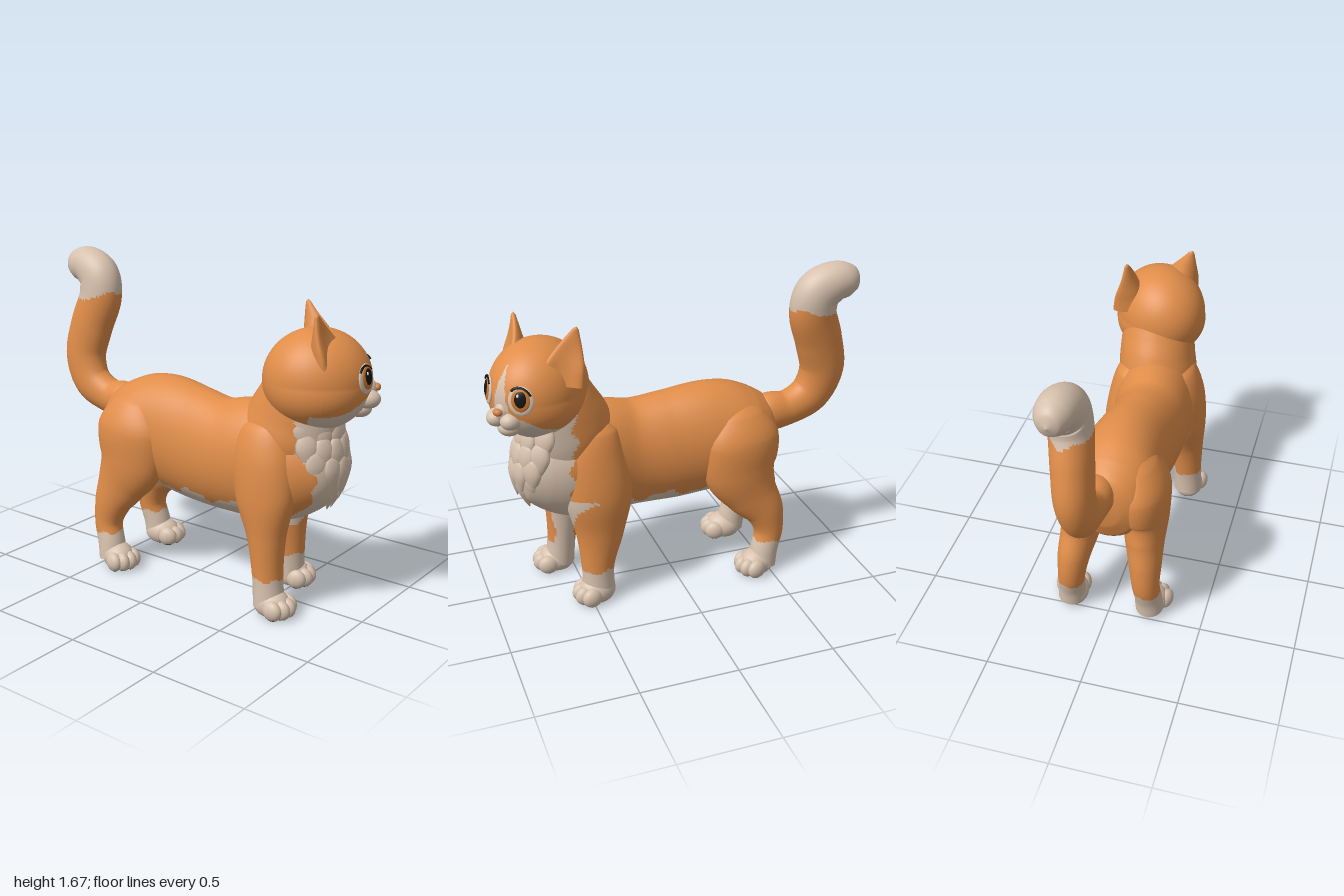
import * as THREE from 'three';
import { mergeGeometries } from 'three/addons/utils/BufferGeometryUtils.js';

const mat = (name, color) => {
  const m = new THREE.MeshStandardMaterial({ color });
  m.name = name;
  return m;
};
const orange = mat('orange fur', 0xe08d49);
const cream = mat('cream fur', 0xd7c1ad);
const black = mat('black', 0x151414);
const amber = mat('amber iris', 0xc9772f);
const noseTone = mat('nose', 0xcf8149);
const white = mat('eye highlight', 0xf4f0ea);

function add(parent, name, geo, material, pos = [0, 0, 0]) {
  const m = new THREE.Mesh(geo, material);
  m.name = name;
  m.position.set(...pos);
  parent.add(m);
  return m;
}

const ball = (rx, ry, rz, seg = 24) => new THREE.SphereGeometry(1, seg, Math.ceil(seg * 0.75)).scale(rx, ry, rz);

// Smooth skin through elliptical sections [x, y, z, radius across, radius along the normal]
function loft(sections, steps, radial) {
  const path = new THREE.CatmullRomCurve3(sections.map(s => new THREE.Vector3(s[0], s[1], s[2])));
  const size = new THREE.CatmullRomCurve3(sections.map((s, i) => new THREE.Vector3(s[3], s[4], i * 0.1)));
  const X = new THREE.Vector3(1, 0, 0), pos = [], idx = [];
  for (let i = 0; i <= steps; i++) {
    const t = i / steps, c = path.getPoint(t), r = size.getPoint(t);
    const n = path.getTangent(t).cross(X).normalize();
    for (let j = 0; j < radial; j++) {
      const a = j / radial * Math.PI * 2;
      const p = c.clone().addScaledVector(X, Math.max(0, r.x) * Math.cos(a))
        .addScaledVector(n, Math.max(0, r.y) * Math.sin(a));
      pos.push(p.x, p.y, p.z);
      if (i < steps) {
        const k = (j + 1) % radial, A = i * radial, B = A + radial;
        idx.push(A + j, A + k, B + j, A + k, B + k, B + j);
      }
    }
  }
  const g = new THREE.BufferGeometry();
  g.setAttribute('position', new THREE.Float32BufferAttribute(pos, 3));
  g.setIndex(idx);
  g.computeVertexNormals();
  return g;
}

// Sort faces into two colour groups; rule(centre, normal) is true for the second colour
function paint(geo, rule) {
  const P = geo.attributes.position, I = geo.index.array, lists = [[], []];
  const a = new THREE.Vector3(), b = new THREE.Vector3(), c = new THREE.Vector3(), n = new THREE.Vector3();
  for (let i = 0; i < I.length; i += 3) {
    a.fromBufferAttribute(P, I[i]); b.fromBufferAttribute(P, I[i + 1]); c.fromBufferAttribute(P, I[i + 2]);
    n.copy(b).sub(a).cross(c.clone().sub(a)).normalize();
    a.add(b).add(c).divideScalar(3);
    lists[rule(a, n) ? 1 : 0].push(I[i], I[i + 1], I[i + 2]);
  }
  geo.setIndex([...lists[0], ...lists[1]]);
  geo.clearGroups();
  geo.addGroup(0, lists[0].length, 0);
  geo.addGroup(lists[0].length, lists[1].length, 1);
  return geo;
}

function addPaw(parent, name, x, z, yaw) {
  const parts = [ball(0.082, 0.078, 0.1).translate(0, 0.06, 0)];
  [-0.06, -0.022, 0.022, 0.06].forEach((tx, i) => {
    const mid = i === 1 || i === 2;
    parts.push(ball(0.036, 0.052, 0.055, 20).translate(tx, 0.052, mid ? 0.075 : 0.052));
  });
  const g = mergeGeometries(parts), P = g.attributes.position;
  for (let i = 0; i < P.count; i++) P.setY(i, Math.max(P.getY(i), 0.004));
  g.computeVertexNormals();
  add(parent, name, paint(g, c => c.y < 0.012), [cream, black], [x, 0, z]).rotation.y = yaw;
}

function buildHead() {
  const W = 0.235, H = 0.25, D = 0.265, F = -0.022; // radii and sideways offset of the face
  const head = new THREE.Group();
  head.name = 'head';
  head.position.set(0.025, 1.185, 0.685);
  head.rotation.y = 0.663;

  // Skull with fuller cheeks, cream lower face and blaze
  const skull = new THREE.SphereGeometry(1, 120, 90).scale(W, H, D), P = skull.attributes.position;
  for (let i = 0; i < P.count; i++) {
    const k = Math.max(0, -P.getY(i) / H);
    P.setX(i, P.getX(i) * (1 + 0.07 * Math.sin(k * Math.PI)));
  }
  skull.computeVertexNormals();
  paint(skull, c => {
    const x = Math.abs(c.x - F);
    if (c.z < -0.06) return false;
    const blaze = c.z > 0 && c.y > -0.1 && c.y < 0.175 && x < 0.03 + 0.2 * Math.max(0, 0.06 - c.y) - Math.max(0, c.y - 0.06) * 0.25;
    return blaze || c.y < -0.01 - 0.72 * Math.max(0, x - 0.02) + 0.006 * Math.sin(x * 60);
  });
  add(head, 'skull', skull, [orange, cream]);

  // Muzzle
  for (const s of [-1, 1]) add(head, 'whiskerPad', ball(0.052, 0.046, 0.06), cream, [F + s * 0.043, -0.085, 0.238]);
  add(head, 'noseBridge', ball(0.042, 0.055, 0.05), cream, [F, -0.045, 0.235]);
  add(head, 'chin', ball(0.06, 0.045, 0.06), cream, [F, -0.14, 0.205]);
  add(head, 'nose', ball(0.027, 0.019, 0.02), noseTone, [F, -0.036, 0.284]);

  // Eyes set on the skull surface
  for (const s of [-1, 1]) {
    const x = F + s * 0.112, y = 0.032, eye = new THREE.Group();
    eye.name = s < 0 ? 'rightEye' : 'leftEye';
    const z = D * Math.sqrt(1 - (x / W) ** 2 - (y / H) ** 2);
    eye.position.set(x, y, z);
    eye.quaternion.setFromUnitVectors(new THREE.Vector3(0, 0, 1), new THREE.Vector3(x / W ** 2, y / H ** 2, z / D ** 2).normalize());
    add(eye, 'eyeWhite', ball(0.063, 0.073, 0.014), cream, [0, 0, -0.004]);
    add(eye, 'iris', ball(0.047, 0.057, 0.012), amber, [0, 0.004, 0.003]);
    add(eye, 'pupil', ball(0.033, 0.044, 0.011), black, [0, 0.008, 0.007]);
    add(eye, 'highlight', ball(0.007, 0.009, 0.004, 12), white, [-0.012, 0.028, 0.015]);
    const lash = add(eye, 'lashLine', new THREE.TorusGeometry(0.055, 0.0055, 6, 28, 1.9), black, [0, 0.002, 0.003]);
    lash.scale.set(1, 1.2, 1);
    lash.rotation.z = 0.62 - s * 0.1;
    head.add(eye);
  }

  // Ears: pointed skins with the rims curled forward
  for (const s of [-1, 1]) {
    const g = loft([[0, -0.07, 0, 0.1, 0.075], [0, 0.03, 0, 0.092, 0.05], [s * 0.012, 0.1, 0, 0.064, 0.03],
      [s * 0.025, 0.16, 0, 0.034, 0.018], [s * 0.033, 0.198, 0, 0.014, 0.01], [s * 0.035, 0.21, 0, 0, 0]], 36, 40);
    const E = g.attributes.position;
    for (let i = 0; i < E.count; i++) {
      const dx = E.getX(i) - s * 0.16 * Math.max(0, E.getY(i));
      E.setZ(i, E.getZ(i) + 5 * dx * dx - 0.015);
    }
    g.computeVertexNormals();
    const ear = add(head, s < 0 ? 'rightEar' : 'leftEar', g, orange, [0.03 + s * 0.15, 0.14, 0.015]);
    ear.rotation.set(0, s * 0.6, -s * 0.12);
  }
  return head;
}

export function createModel() {
  const cat = new THREE.Group();
  cat.name = 'cat';

  // Torso from rump to breast, with cream belly and chest
  const torso = loft([[0, 0.775, -0.582, 0, 0], [0, 0.775, -0.57, 0.09, 0.1], [0, 0.775, -0.535, 0.165, 0.18],
    [0, 0.772, -0.46, 0.215, 0.235], [0, 0.768, -0.36, 0.232, 0.28], [0, 0.765, -0.2, 0.22, 0.305],
    [-0.015, 0.737, 0, 0.205, 0.305], [-0.03, 0.722, 0.2, 0.203, 0.295], [-0.015, 0.735, 0.38, 0.22, 0.31],
    [0, 0.74, 0.55, 0.225, 0.295], [0.01, 0.75, 0.68, 0.2, 0.245], [0.02, 0.757, 0.78, 0.15, 0.175],
    [0.02, 0.76, 0.825, 0.09, 0.1], [0.02, 0.76, 0.842, 0, 0]], 120, 96);
  paint(torso, c => (c.z > 0.58 + 0.015 * Math.sin(c.y * 50) && c.x > -0.165 + 0.17 * (0.95 - c.y) + 0.01 * Math.sin(c.y * 45)) ||
    (c.z > -0.36 && c.z < 0.6 && c.y < 0.52 + 0.022 * Math.sin(c.z * 24) + 0.012 * Math.sin(c.z * 57)));
  add(cat, 'torso', torso, [orange, cream]);

  // Neck
  const neck = loft([[0, 0.75, 0.5, 0.19, 0.22], [0.005, 0.9, 0.55, 0.212, 0.245], [0.015, 1.0, 0.58, 0.205, 0.235],
    [0.02, 1.1, 0.61, 0.195, 0.205], [0.02, 1.16, 0.63, 0.18, 0.19]], 50, 64);
  add(cat, 'neck', paint(neck, c => c.z > 0.56 + 0.015 * Math.sin(c.y * 45) && c.x > -0.165), [orange, cream]);

  // Chest ruff: rows of overlapping pointed tufts
  const tuft = loft([[0, 0.1, -0.015, 0, 0], [0, 0.08, -0.008, 0.035, 0.015], [0, 0.02, 0, 0.056, 0.026],
    [0, -0.05, 0.002, 0.036, 0.02], [0, -0.1, 0.004, 0.012, 0.009], [0, -0.125, 0.006, 0, 0]], 16, 16);
  const ruff = new THREE.Group();
  ruff.name = 'chestRuff';
  [[0.91, 0.795, 0.155, 5, -0.08], [0.82, 0.822, 0.155, 6, 0], [0.73, 0.834, 0.13, 5, 0.12],
    [0.65, 0.808, 0.09, 4, 0.35], [0.58, 0.77, 0.045, 2, 0.55]].forEach(([y, z, w, n, tilt]) => {
    for (let i = 0; i < n; i++) {
      const u = i / (n - 1) * 2 - 1, x = u * w;
      const m = add(ruff, 'tuft', tuft, cream, [0.03 + x, y + 0.04 * u * u, z - 3.6 * x * x]);
      m.rotation.set(tilt, x * 5, -u * 0.18, 'YXZ');
    }
  });
  cat.add(ruff);

  // Legs, each from its buried top down to the ankle
  const legs = {
    leftFrontLeg: [[0.09, 1.02, 0.44, 0.02, 0.04], [0.115, 0.95, 0.445, 0.085, 0.125], [0.135, 0.8, 0.45, 0.113, 0.165],
      [0.155, 0.6, 0.435, 0.118, 0.175], [0.157, 0.4, 0.435, 0.098, 0.13], [0.17, 0.2, 0.455, 0.08, 0.087], [0.178, 0.05, 0.455, 0.08, 0.085]],
    rightFrontLeg: [[-0.09, 1.02, 0.48, 0.02, 0.04], [-0.12, 0.95, 0.49, 0.09, 0.13], [-0.145, 0.8, 0.5, 0.12, 0.17],
      [-0.165, 0.6, 0.525, 0.115, 0.16], [-0.175, 0.4, 0.545, 0.094, 0.1], [-0.182, 0.2, 0.56, 0.08, 0.077], [-0.188, 0.05, 0.575, 0.08, 0.08]],
    leftHindLeg: [[0.08, 1.0, -0.33, 0.03, 0.04], [0.11, 0.93, -0.335, 0.1, 0.14], [0.143, 0.8, -0.34, 0.135, 0.215],
      [0.16, 0.62, -0.34, 0.12, 0.2], [0.172, 0.48, -0.4, 0.1, 0.15], [0.188, 0.36, -0.475, 0.085, 0.108],
      [0.198, 0.24, -0.5, 0.072, 0.08], [0.208, 0.13, -0.475, 0.072, 0.075], [0.212, 0.05, -0.46, 0.075, 0.08]]
  };
  legs.rightHindLeg = legs.leftHindLeg.map(([x, y, z, a, b]) => [-x, y, z + (y < 0.4 ? 0.02 : 0), a, b]);
  const patches = {
    leftFrontLeg: (c, n) => c.y > 0.37 && c.y < 0.62 && n.z > 0.15 && c.x < 0.07 + (c.y - 0.3) * 0.65,
    rightFrontLeg: (c, n) => c.y < 0.46 + 0.03 * Math.sin(c.z * 40) && n.x > 0.68 + 0.1 * Math.sin(c.y * 30)
  };
  for (const name in legs) {
    const sock = c => c.y < 0.195 + 0.008 * Math.sin((c.x + c.z) * 50);
    add(cat, name, paint(loft(legs[name], 80, 40), (c, n) => sock(c) || patches[name]?.(c, n)), [orange, cream]);
  }
  addPaw(cat, 'leftFrontPaw', 0.185, 0.468, 0.15);
  addPaw(cat, 'rightFrontPaw', -0.19, 0.592, -0.1);
  addPaw(cat, 'leftHindPaw', 0.212, -0.435, 0.3);
  addPaw(cat, 'rightHindPaw', -0.212, -0.405, -0.3);

  // Tail curling up, with a cream tip
  const tail = loft([[0.03, 0.85, -0.43, 0.05, 0.05], [0.033, 0.862, -0.54, 0.09, 0.105], [0.035, 0.872, -0.66, 0.085, 0.097],
    [0.035, 0.94, -0.79, 0.09, 0.112], [0.045, 1.08, -0.845, 0.096, 0.122], [0.06, 1.25, -0.81, 0.1, 0.127],
    [0.08, 1.42, -0.757, 0.104, 0.126], [0.09, 1.52, -0.775, 0.105, 0.122], [0.1, 1.572, -0.85, 0.1, 0.106],
    [0.105, 1.578, -0.925, 0.084, 0.09], [0.105, 1.576, -0.975, 0.052, 0.058], [0.105, 1.575, -0.998, 0, 0]], 100, 44);
  add(cat, 'tail', paint(tail, c => c.y > 1.425 + 0.2 * (c.z + 0.75) + 0.012 * Math.sin(c.x * 50)), [orange, cream]);

  cat.add(buildHead());
  return cat;
}
